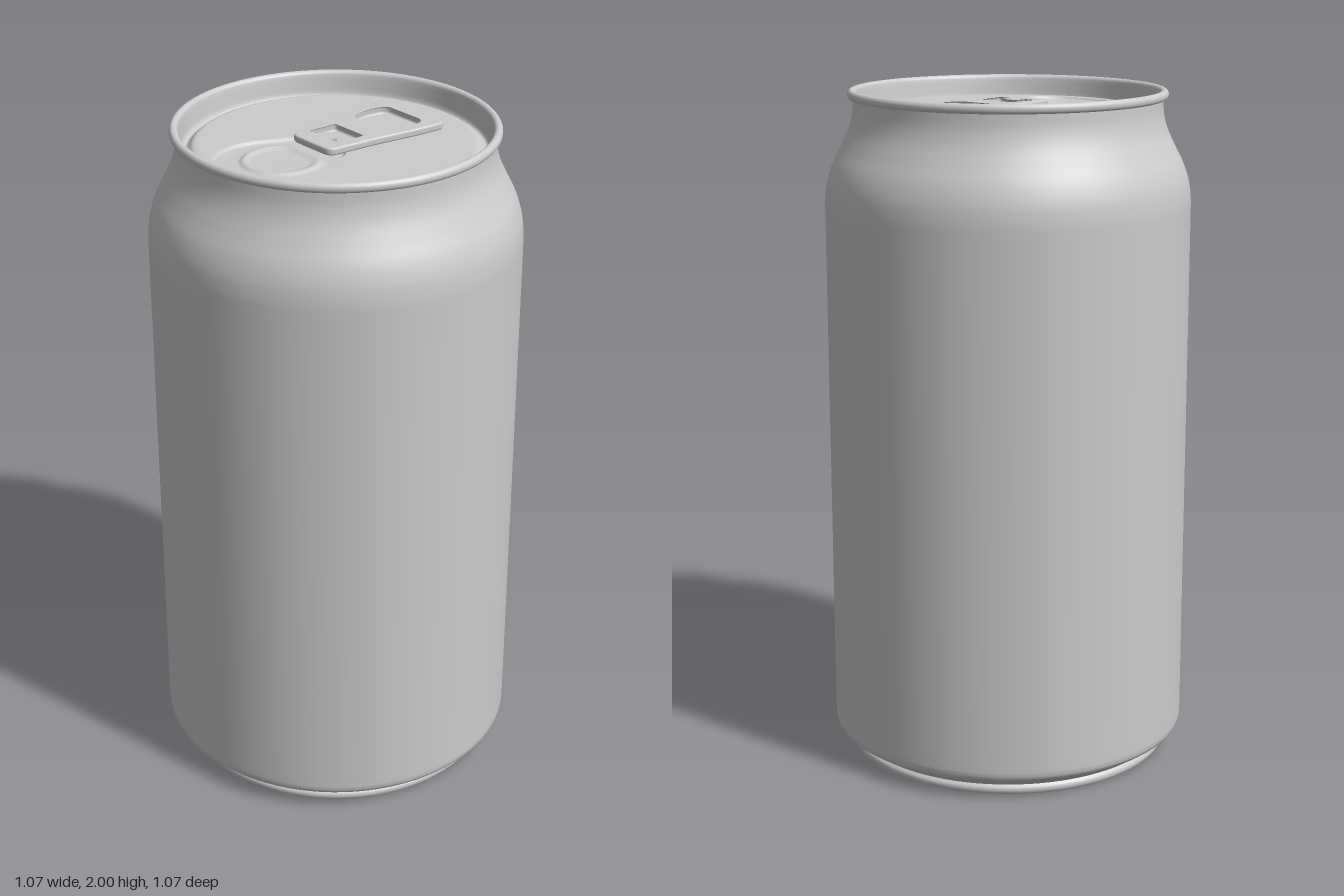
import * as THREE from 'three';

const LID_Y = 1.944;
const material = new THREE.MeshStandardMaterial({ color: 0xcccccc, roughness: 0.5, side: THREE.DoubleSide });

function part(name, geometry) {
  const mesh = new THREE.Mesh(geometry, material);
  mesh.name = name;
  return mesh;
}

// Smooth lathe profile: spline through [radius, height] points
function spline(points, divisions) {
  return new THREE.SplineCurve(points.map(p => new THREE.Vector2(...p))).getPoints(divisions);
}

function lathe(points) {
  return new THREE.LatheGeometry(points.map(p => (p.isVector2 ? p : new THREE.Vector2(...p))), 96);
}

// Closed outline mirrored in x, from half points [x, z] running from the top to the bottom
function outline(half, count = 72) {
  const mirrored = half.slice(1, -1).reverse().map(([x, z]) => [-x, z]);
  const points = [...half, ...mirrored].map(([x, z]) => new THREE.Vector3(x, 0, z));
  return new THREE.CatmullRomCurve3(points, true).getSpacedPoints(count).slice(0, count);
}

// Polygon with rounded corners, given as [x, z, radius]; z is flipped for the lid plane
function rounded(path, corners) {
  const v = corners.map(([x, z]) => new THREE.Vector2(x, -z));
  const n = v.length;
  corners.forEach(([, , r], i) => {
    const toward = j => v[i].clone().add(v[j].clone().sub(v[i]).setLength(r));
    const a = toward((i + n - 1) % n), b = toward((i + 1) % n);
    if (i === 0) path.moveTo(a.x, a.y); else path.lineTo(a.x, a.y);
    path.quadraticCurveTo(v[i].x, v[i].y, b.x, b.y);
  });
  path.closePath();
  return path;
}

const mirror = half => [...half, ...half.slice().reverse().map(([x, z, r]) => [-x, z, r])];

// Skin between rings of equal point count, closed with a centre point
function loft(rings, centre) {
  const n = rings[0].length;
  const position = rings.flat().flatMap(p => [p.x, p.y, p.z]).concat(centre);
  const index = [];
  for (let i = 0; i < n; i++) {
    const j = (i + 1) % n;
    for (let k = 0; k < rings.length - 1; k++) {
      const a = k * n + i, b = k * n + j, c = b + n, d = a + n;
      index.push(a, d, c, a, c, b);
    }
    const last = (rings.length - 1) * n;
    index.push(last + i, rings.length * n, last + j);
  }
  const g = new THREE.BufferGeometry();
  g.setAttribute('position', new THREE.Float32BufferAttribute(position, 3));
  g.setIndex(index);
  g.computeVertexNormals();
  return g;
}

export function createModel() {
  const group = new THREE.Group();
  group.name = 'drinkCan';

  // Recessed underside and standing rim
  group.add(part('base', lathe([
    [0, 0.05], [0.42, 0.05], ...spline([[0.43, 0.05], [0.45, 0.043], [0.46, 0.025], [0.465, 0.008]], 8),
    ...spline([[0.468, 0.002], [0.474, 0], [0.482, 0.003], [0.486, 0.012], [0.485, 0.022], [0.478, 0.03]], 12),
  ])));

  // Side wall with lower chamfer, shoulder and neck
  group.add(part('body', lathe([
    [0.478, 0.03], [0.482, 0.034], [0.515, 0.055],
    ...spline([[0.525, 0.062], [0.533, 0.073], [0.536, 0.09]], 6), [0.536, 0.11], [0.536, 1.64],
    ...spline([[0.536, 1.66], [0.535, 1.69], [0.529, 1.735], [0.513, 1.785], [0.488, 1.835],
      [0.465, 1.885], [0.453, 1.93], [0.45, 1.972]], 32),
  ])));

  // Rolled top rim, inner wall, groove and raised edge of the lid
  group.add(part('rim', lathe([
    ...spline([[0.45, 1.972], [0.46, 1.974], [0.465, 1.981], [0.465, 1.991], [0.459, 1.999],
      [0.45, 2], [0.443, 1.995], [0.44, 1.985], [0.437, 1.96], [0.434, 1.937],
      [0.428, 1.926], [0.42, 1.925], [0.412, 1.932], [0.402, 1.941], [0.39, LID_Y]], 54),
    [0.38, LID_Y],
  ])));

  // Lid panel with the opening cut out
  const mouth = outline([[0, 0], [0.05, 0.01], [0.09, 0.042], [0.122, 0.1], [0.152, 0.17],
    [0.165, 0.24], [0.148, 0.315], [0.095, 0.37], [0, 0.39]]);
  const lid = new THREE.Shape().absarc(0, 0, 0.382, 0, Math.PI * 2);
  lid.holes.push(new THREE.Path(mouth.map(p => new THREE.Vector2(p.x, -p.z))));
  group.add(part('lid', new THREE.ShapeGeometry(lid, 48).rotateX(-Math.PI / 2).translate(0, LID_Y, 0)));

  // Sunken pour panel with a soft inner bead
  const bead = outline([[0, 0.11], [0.065, 0.114], [0.096, 0.145], [0.105, 0.2],
    [0.092, 0.25], [0.055, 0.29], [0, 0.305]]);
  const ring = (base, scale, drop) => base.map(p =>
    new THREE.Vector3(p.x * scale, LID_Y - drop, 0.21 + (p.z - 0.21) * scale));
  group.add(part('pourPanel', loft([
    ring(mouth, 1, 0), ring(mouth, 0.985, 0.006), ring(mouth, 0.96, 0.01), ring(mouth, 0.93, 0.011),
    ring(bead, 1.12, 0.011), ring(bead, 1.06, 0.008), ring(bead, 1, 0.004), ring(bead, 0.94, 0.003),
    ring(bead, 0.88, 0.005), ring(bead, 0.8, 0.009), ring(bead, 0.72, 0.01),
  ], [0, LID_Y - 0.01, 0.21])));

  // Pull tab with finger hole and tongue window
  const tab = rounded(new THREE.Shape(), mirror([
    [0.126, -0.3, 0.02], [0.119, -0.2, 0.03], [0.099, -0.07, 0.03], [0.092, 0.01, 0.02], [0.085, 0.095, 0.03],
  ]));
  tab.holes.push(
    rounded(new THREE.Path(), mirror([[0.083, -0.266, 0.03], [0.1, -0.19, 0.04], [0.078, -0.118, 0.03]])),
    rounded(new THREE.Path(), mirror([
      [0.066, -0.056, 0.012], [0.072, 0.048, 0.01], [0.024, 0.048, 0.006], [0.024, 0.01, 0.012],
    ])),
  );
  const tabGeometry = new THREE.ExtrudeGeometry(tab, {
    depth: 0.01, bevelThickness: 0.006, bevelSize: 0.006, bevelOffset: -0.006, bevelSegments: 3, curveSegments: 8,
  });
  group.add(part('pullTab', tabGeometry.rotateX(-Math.PI / 2).translate(0, LID_Y + 0.007, 0)));

  return group;
}
